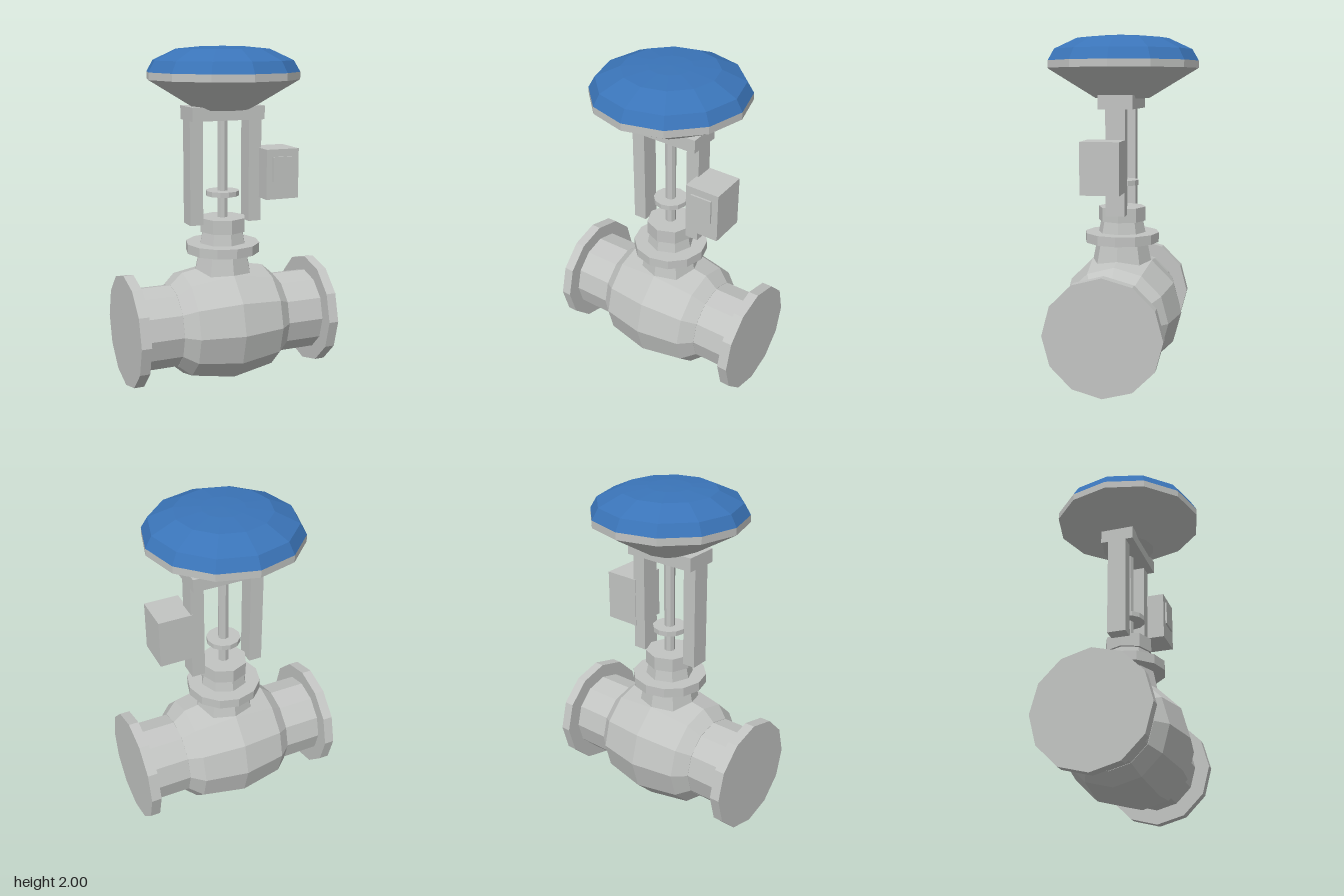
import * as THREE from 'three';

const castMetal = new THREE.MeshStandardMaterial({ color: 0xc2c4c2 });
castMetal.name = 'grey cast metal';
const bluePaint = new THREE.MeshStandardMaterial({ color: 0x3a74b8 });
bluePaint.name = 'blue paint';

export function createModel() {
  const model = new THREE.Group();
  model.name = 'controlValve';

  // Faceted mesh: unshared vertices give one normal per face
  function add(name, geometry, x, y, z, material = castMetal) {
    const flat = geometry.index ? geometry.toNonIndexed() : geometry;
    flat.computeVertexNormals();
    const mesh = new THREE.Mesh(flat, material);
    mesh.name = name;
    mesh.position.set(x, y, z);
    model.add(mesh);
    return mesh;
  }
  const lathe = (points, sides = 12) =>
    new THREE.LatheGeometry(points.map(([r, y]) => new THREE.Vector2(r, y)), sides);
  // Upright cylinder or cone between two heights
  const drum = (name, rTop, rBottom, y0, y1, sides) =>
    add(name, new THREE.CylinderGeometry(rTop, rBottom, y1 - y0, sides), 0, (y0 + y1) / 2, 0);
  // Box from its minimum and maximum corners
  const box = (name, [x0, y0, z0], [x1, y1, z1]) =>
    add(name, new THREE.BoxGeometry(x1 - x0, y1 - y0, z1 - z0),
      (x0 + x1) / 2, (y0 + y1) / 2, (z0 + z1) / 2);

  // Pipe line: bulging body, pipe stubs and end flanges along x
  const axisY = 0.362;
  add('valveBody', lathe([
    [0, -0.335], [0.25, -0.335], [0.316, -0.26], [0.362, 0],
    [0.316, 0.26], [0.25, 0.335], [0, 0.335],
  ]).rotateZ(-Math.PI / 2), 0, axisY, 0);
  for (const side of [-1, 1]) {
    const end = side > 0 ? 'left' : 'right';
    add(end + 'Pipe', new THREE.CylinderGeometry(0.248, 0.248, 0.28, 12)
      .rotateZ(-Math.PI / 2), side * 0.44, axisY, 0);
    add(end + 'Flange', new THREE.CylinderGeometry(0.335, 0.335, 0.06, 12)
      .rotateZ(-Math.PI / 2), side * 0.59, axisY, 0);
  }

  // Bonnet, packing nut and stem
  drum('bonnetNeck', 0.125, 0.2, 0.56, 0.93, 8);
  drum('bonnetFlange', 0.222, 0.222, 0.79, 0.847, 12);
  drum('packingNut', 0.142, 0.142, 0.917, 1.0, 8);
  drum('stem', 0.032, 0.032, 0.98, 1.62, 8);
  drum('travelDisc', 0.1, 0.1, 1.13, 1.16, 12);

  // Yoke
  for (const side of [-1, 1]) {
    add(side > 0 ? 'leftYokeLeg' : 'rightYokeLeg',
      new THREE.BoxGeometry(0.08, 0.63, 0.112), side * 0.185, 1.285, 0);
  }
  box('yokeCrossbar', [-0.225, 1.58, -0.1], [0.225, 1.66, 0.1]);

  // Positioner with its raised cover
  box('positionerBox', [0.212, 1.112, -0.06], [0.42, 1.408, 0.162]);
  box('positionerCover', [0.25, 1.218, 0.16], [0.38, 1.364, 0.173]);

  // Diaphragm actuator: grey lower case and rim, blue domed cap
  add('actuatorLowerCase', lathe([
    [0, 1.64], [0.16, 1.64], [0.448, 1.813], [0.448, 1.855],
  ]), 0, 0, 0);
  add('actuatorCap', lathe([
    [0.448, 1.855], [0.41, 1.92], [0.272, 1.984], [0.122, 1.998], [0, 2],
  ]), 0, 0, 0, bluePaint);

  return model;
}
